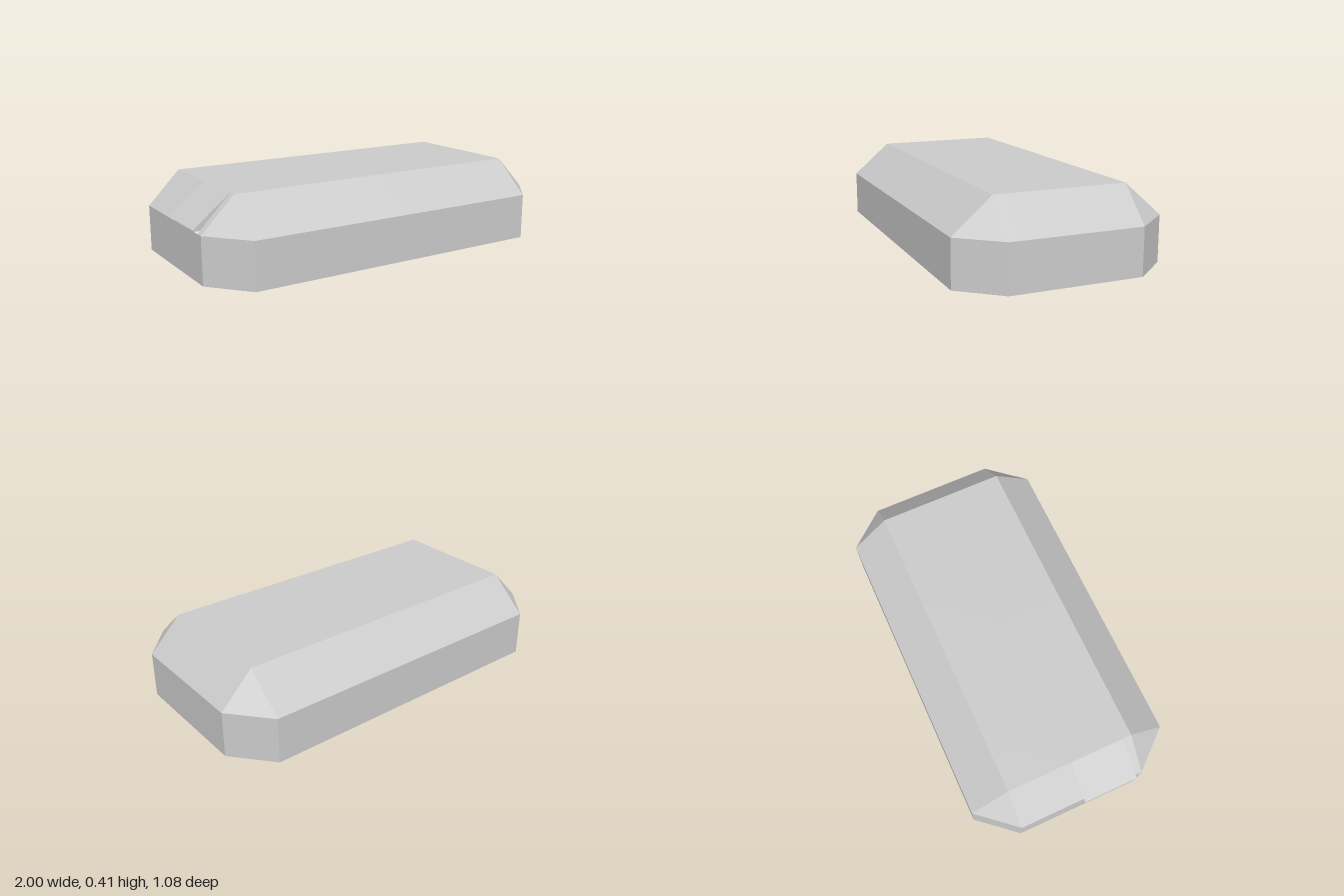
import * as THREE from 'three';

const V = (x, y, z) => new THREE.Vector3(x, y, z);
const skin = new THREE.MeshStandardMaterial({ color: 0xcccccc, flatShading: true, side: THREE.DoubleSide });
const solid = new THREE.MeshStandardMaterial({ color: 0xcccccc, flatShading: true });
const CENTRE = V(0, 0.2, 0);

// Main dimensions
const EAVE = 0.24, TOP = 0.413;
const X0 = -0.81, X1 = 0.83, END0 = -0.98, END1 = 1.0;
const ZR = 0.34, ZW = 0.54;
const SEAMS = [-0.81, -0.55, -0.275, 0, 0.275, 0.55, 0.8];

// Flat panel with three or four corners, turned to face outwards
function panel(group, name, ...pts) {
  const normal = pts[1].clone().sub(pts[0]).cross(pts[2].clone().sub(pts[0]));
  if (normal.dot(pts[0].clone().sub(CENTRE)) < 0) pts.reverse();
  const geo = new THREE.BufferGeometry().setFromPoints(pts);
  geo.setIndex(pts.length === 4 ? [0, 1, 2, 0, 2, 3] : [0, 1, 2]);
  geo.computeVertexNormals();
  const mesh = new THREE.Mesh(geo, skin);
  mesh.name = name;
  group.add(mesh);
}

// Square bar lying just under the line a-b; "out" is the outward normal of the skin
function bar(group, name, a, b, out, w = 0.022) {
  const dir = b.clone().sub(a);
  const len = dir.length();
  dir.normalize();
  const up = out.clone().normalize();
  const mesh = new THREE.Mesh(new THREE.BoxGeometry(w, w, len), solid);
  mesh.applyMatrix4(new THREE.Matrix4().makeBasis(up.clone().cross(dir), up, dir));
  mesh.position.copy(a).add(b).multiplyScalar(0.5).addScaledVector(up, -w / 2 - 0.002);
  mesh.name = name;
  group.add(mesh);
}

export function createModel() {
  const model = new THREE.Group();
  const [walls, roof, frame] = ['walls', 'roof', 'frame'].map((name) => {
    const g = new THREE.Group();
    g.name = name;
    model.add(g);
    return g;
  });

  // Eight-sided wall, open below
  const plan = [[X0, ZW], [X1, ZW], [END1, ZR], [END1, -ZR], [X1, -ZW], [X0, -ZW], [END0, -ZR], [END0, ZR]];
  plan.forEach(([x, z], i) => {
    const [u, w] = plan[(i + 1) % 8];
    panel(walls, 'wallPanel', V(x, 0, z), V(u, 0, w), V(u, EAVE, w), V(x, EAVE, z));
  });

  // Flat top and long side slopes, in bays
  const bays = [...SEAMS, X1];
  for (let i = 0; i < bays.length - 1; i++) {
    const a = bays[i], b = bays[i + 1];
    for (const s of [-1, 1]) {
      panel(roof, 'topPanel', V(a, TOP, 0), V(b, TOP, 0), V(b, TOP, s * ZR), V(a, TOP, s * ZR));
      panel(roof, 'sideSlopePanel', V(a, TOP, s * ZR), V(b, TOP, s * ZR), V(b, EAVE, s * ZW), V(a, EAVE, s * ZW));
    }
  }

  // End slopes, with one bay left open for the vent, and corner hips
  const cuts = [-ZR, -0.3, 0, 0.3, ZR];
  for (const [top, end] of [[X0, END0], [X1, END1]]) {
    for (let i = 0; i < 4; i++) {
      if (end < 0 && i === 2) continue;
      const a = cuts[i], b = cuts[i + 1];
      panel(roof, 'endSlopePanel', V(top, TOP, a), V(top, TOP, b), V(end, EAVE, b), V(end, EAVE, a));
    }
    for (const s of [-1, 1])
      panel(roof, 'cornerHip', V(top, TOP, s * ZR), V(top, EAVE, s * ZW), V(end, EAVE, s * ZR));
  }

  // Vent flap hinged at the top edge and lifted outwards
  panel(roof, 'ventFlap', V(X0, TOP, 0.005), V(X0, TOP, 0.298), V(-1, 0.26, 0.298), V(-1, 0.26, 0.005));

  // Rafters under the side slopes and cross beams under the top
  const up = V(0, 1, 0);
  const rise = TOP - EAVE;
  for (const seam of SEAMS) {
    const x = THREE.MathUtils.clamp(seam, X0 + 0.012, X1 - 0.012);
    bar(frame, 'crossBeam', V(x, TOP, -ZR + 0.01), V(x, TOP, ZR - 0.01), up);
    for (const s of [-1, 1])
      bar(frame, 'sideRafter', V(x, TOP, s * ZR), V(x, EAVE, s * ZW), V(0, ZW - ZR, s * rise));
  }

  // Rafters under both end slopes
  for (const z of [-0.31, 0, 0.31]) {
    bar(frame, 'endRafter', V(X0, TOP, z), V(END0, EAVE, z), V(-rise, X0 - END0, 0));
    bar(frame, 'endRafter', V(X1, TOP, z), V(END1, EAVE, z), V(rise, END1 - X1, 0));
  }

  // Lengthwise beams and centre post
  for (const z of [-0.325, 0, 0.325])
    bar(frame, 'longBeam', V(X0 + 0.01, TOP, z), V(X1 - 0.01, TOP, z), up);
  const post = new THREE.Mesh(new THREE.BoxGeometry(0.028, 0.4, 0.028), solid);
  post.position.y = 0.2;
  post.name = 'centrePost';
  frame.add(post);

  return model;
}
